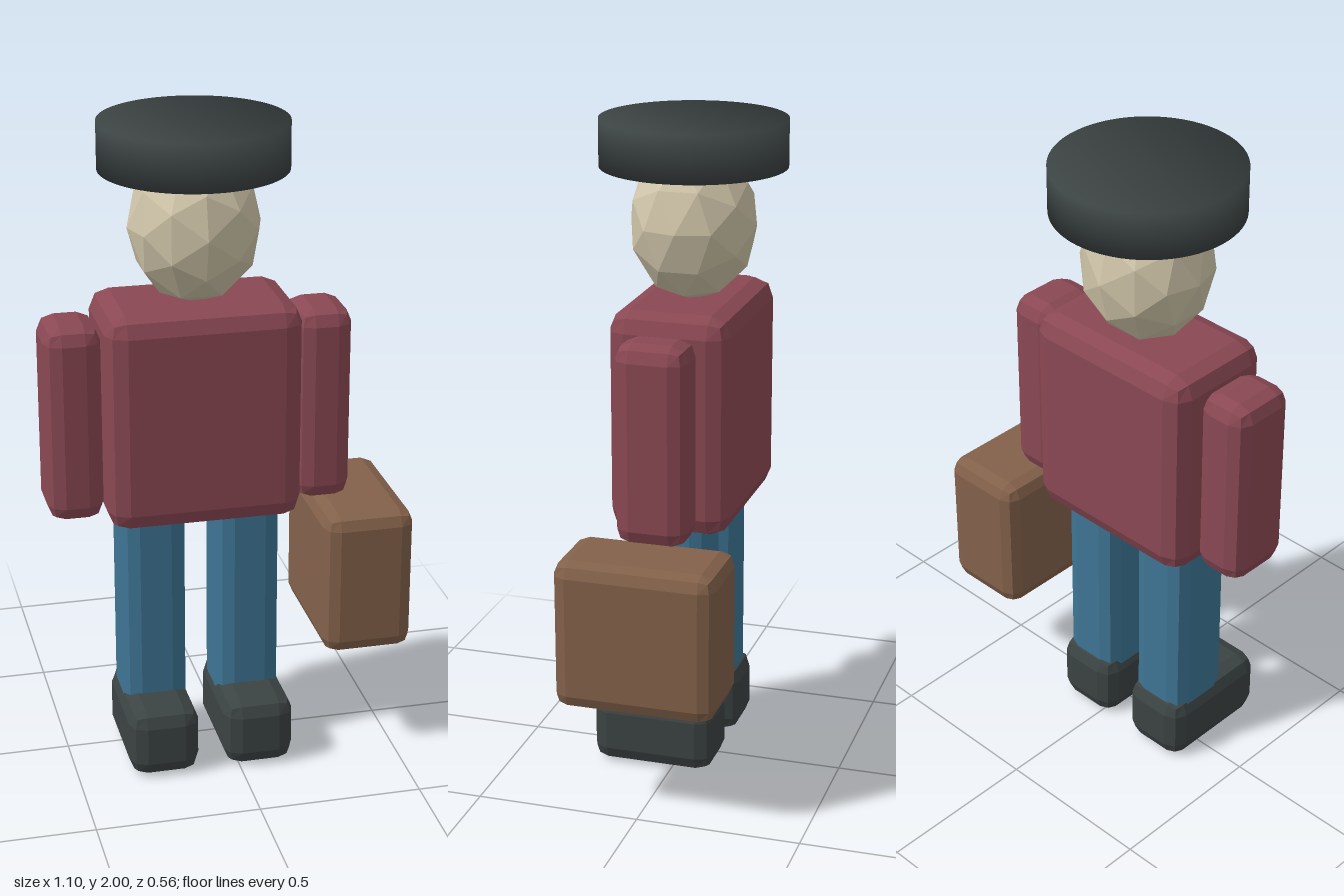
import * as THREE from 'three';
import { RoundedBoxGeometry } from 'three/addons/geometries/RoundedBoxGeometry.js';

const material = (name, color) => {
  const m = new THREE.MeshStandardMaterial({ color });
  m.name = name;
  return m;
};

export function createModel() {
  const group = new THREE.Group();
  const sweater = material('sweater red', 0x8a4853);
  const denim = material('denim blue', 0x3e7595);
  const charcoal = material('charcoal', 0x3c4343);
  const leather = material('case brown', 0x83614a);
  const skin = material('skin', 0xd0c5a9);
  const bodyX = -0.085;

  const add = (name, geometry, mat, x, y, z) => {
    const mesh = new THREE.Mesh(geometry, mat);
    mesh.name = name;
    mesh.position.set(x, y, z);
    group.add(mesh);
  };

  // Faceted box with bevelled edges, given by its limits on each axis
  const block = (name, mat, [x0, x1], [y0, y1], [z0, z1], bevel) => {
    const g = new RoundedBoxGeometry(x1 - x0, y1 - y0, z1 - z0, 1, bevel);
    g.computeVertexNormals();
    add(name, g, mat, (x0 + x1) / 2, (y0 + y1) / 2, (z0 + z1) / 2);
  };

  block('torso', sweater, [-0.38, 0.21], [0.795, 1.47], [-0.185, 0.185], 0.06);
  block('suitcase', leather, [0.267, 0.547], [0.35, 0.81], [-0.245, 0.245], 0.045);

  // Arms, legs and shoes, mirrored about the body's middle
  for (const [side, s] of [['left', 1], ['right', -1]]) {
    const span = (a, b) => [bodyX + s * a, bodyX + s * b].sort((p, q) => p - q);
    block(side + 'Arm', sweater, span(0.295, 0.465), [0.815, 1.425], [-0.11, 0.11], 0.05);
    block(side + 'Leg', denim, span(0.048, 0.245), [0.12, 0.86], [-0.11, 0.11], 0.05);
    block(side + 'Shoe', charcoal, span(0.04, 0.257), [0, 0.22], [-0.13, 0.255], 0.05);
  }

  // Faceted egg-shaped head
  const head = new THREE.IcosahedronGeometry(1, 1);
  head.scale(0.2, 0.24, 0.195);
  head.computeVertexNormals();
  add('head', head, skin, bodyX, 1.69, 0);

  // Round flat hat, with normals shared between rim and caps
  const hatRadius = 0.281;
  const hatHeight = 0.142;
  const disc = new THREE.Shape().absarc(0, 0, hatRadius, 0, Math.PI * 2);
  const hat = new THREE.ExtrudeGeometry(disc, { depth: hatHeight, bevelEnabled: false, curveSegments: 32 });
  hat.translate(0, 0, -hatHeight / 2).rotateX(-Math.PI / 2);
  const p = hat.attributes.position;
  const n = new THREE.Vector3();
  for (let i = 0; i < p.count; i++) {
    n.set(p.getX(i) / hatRadius, Math.sign(p.getY(i)), p.getZ(i) / hatRadius).normalize();
    hat.attributes.normal.setXYZ(i, n.x, n.y, n.z);
  }
  add('hat', hat, charcoal, bodyX, 2 - hatHeight / 2, 0);

  return group;
}
